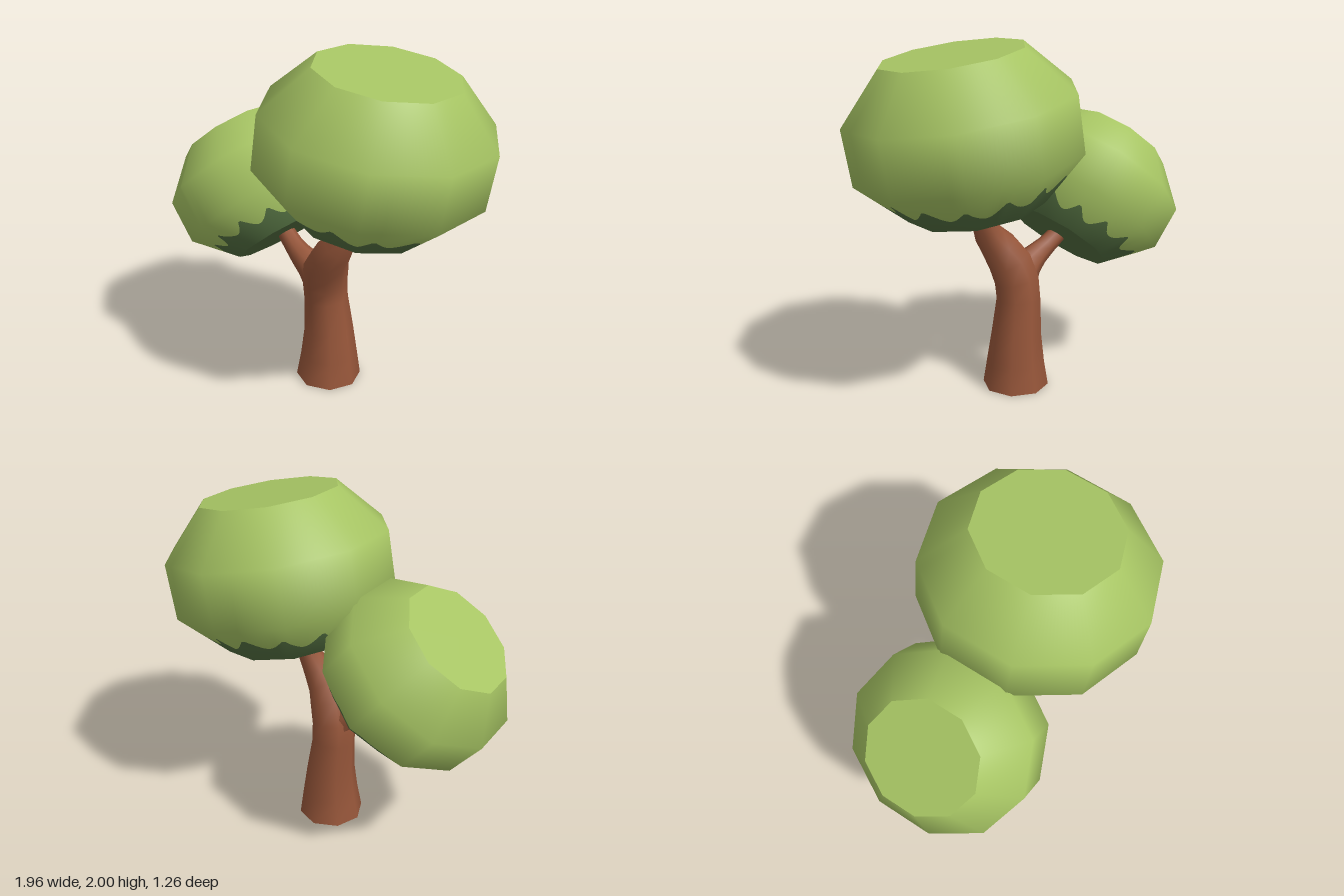
import * as THREE from 'three';

const mat = (name, color, side = THREE.FrontSide) => {
  const m = new THREE.MeshStandardMaterial({ color, side });
  m.name = name;
  return m;
};

function addMesh(parent, name, geometry, material) {
  const mesh = new THREE.Mesh(geometry, material);
  mesh.name = name;
  parent.add(mesh);
  return mesh;
}

// Grid of quads from rows of points; a closed row joins its last point to its first
function gridIndex(rows, cols, closed) {
  const index = [];
  for (let i = 0; i < rows - 1; i++) {
    for (let j = 0; j < (closed ? cols : cols - 1); j++) {
      const a = i * cols + j, b = i * cols + (j + 1) % cols;
      const c = a + cols, d = b + cols;
      index.push([a, c, b], [b, c, d]);
    }
  }
  return index.flat();
}

// Tapered eight-sided limb through stations [x, y, z, radius]
function limb(stations, flatStart) {
  const sides = 8, position = [];
  const pts = stations.map(([x, y, z]) => new THREE.Vector3(x, y, z));
  const zAxis = new THREE.Vector3(0, 0, 1);
  pts.forEach((p, i) => {
    const t = pts[Math.min(i + 1, pts.length - 1)].clone().sub(pts[Math.max(i - 1, 0)]).normalize();
    if (i === 0 && flatStart) t.set(0, 1, 0);
    const u = new THREE.Vector3().crossVectors(t, zAxis).normalize();
    const v = new THREE.Vector3().crossVectors(u, t);
    for (let j = 0; j < sides; j++) {
      const a = (j / sides) * Math.PI * 2, r = stations[i][3];
      const q = p.clone().addScaledVector(u, r * Math.cos(a)).addScaledVector(v, r * Math.sin(a));
      position.push(q.x, q.y, q.z);
    }
  });
  const g = new THREE.BufferGeometry();
  g.setAttribute('position', new THREE.Float32BufferAttribute(position, 3));
  g.setIndex(gridIndex(pts.length, sides, true));
  g.computeVertexNormals();
  return g;
}

// Crown profile: [height, corner radius, normal elevation in radians]
const PROFILE = [[0.412, 0.39, 0.8], [0.155, 0.632, 0.4], [-0.155, 0.632, -0.4], [-0.412, 0.385, -0.8]];
const SIDES = 10, SCALLOPS = 15, COLS = 180;

// Point of the profile on the lower slope at a given height
function lowerSlope(y) {
  const [a, b] = [PROFILE[2], PROFILE[3]];
  const k = (y - a[0]) / (b[0] - a[0]);
  return [y, a[1] + (b[1] - a[1]) * k, a[2] + (b[2] - a[2]) * k];
}

// Hanging rounded lobes meeting in upward points
function scallop(theta) {
  const wobble = 0.012 * Math.sin(theta * 4 + 1);
  return -0.32 + wobble + 0.075 * (1 - Math.abs(Math.sin(theta * SCALLOPS / 2 + 0.4)));
}

// Ten-sided crown wall; rowsAt(theta) lists profile points from top to bottom
function crownWall(rowsAt) {
  const step = (Math.PI * 2) / SIDES, position = [], normal = [];
  const rowCount = rowsAt(0).length;
  for (let i = 0; i < rowCount; i++) {
    for (let j = 0; j <= COLS; j++) {
      const theta = (j / COLS) * Math.PI * 2;
      const [y, r, e] = rowsAt(theta)[i];
      const local = (theta % step) - step / 2;
      const d = r * Math.cos(step / 2) / Math.cos(local);
      position.push(d * Math.sin(theta), y, d * Math.cos(theta));
      normal.push(Math.cos(e) * Math.sin(theta), Math.sin(e), Math.cos(e) * Math.cos(theta));
    }
  }
  const g = new THREE.BufferGeometry();
  g.setAttribute('position', new THREE.Float32BufferAttribute(position, 3));
  g.setAttribute('normal', new THREE.Float32BufferAttribute(normal, 3));
  g.setIndex(gridIndex(rowCount, COLS + 1, false));
  return g;
}

function crown(name, leaf, shade) {
  const g = new THREE.Group();
  g.name = name;
  addMesh(g, 'crownFoliage', crownWall(t => [...PROFILE.slice(0, 3), lowerSlope(scallop(t))]), leaf);
  addMesh(g, 'crownUnderside', crownWall(t => [lowerSlope(scallop(t)), PROFILE[3]]), shade);
  const cap = (capName, [y, r], dir, material) => {
    const c = new THREE.CircleGeometry(r, SIDES, Math.PI / 2).rotateX(-dir * Math.PI / 2);
    addMesh(g, capName, c.translate(0, y, 0), material);
  };
  cap('crownTop', PROFILE[0], 1, leaf);
  cap('crownBottom', PROFILE[3], -1, shade);
  return g;
}

export function createModel() {
  const model = new THREE.Group();
  model.name = 'tree';
  const bark = mat('bark', 0x955539, THREE.DoubleSide);
  const leaf = mat('leafGreen', 0xa6c463);
  const shade = mat('shadeGreen', 0x536f41);

  // Trunk sweeping up into the large crown
  addMesh(model, 'trunk', limb([
    [0.033, 0, -0.007, 0.192], [0.035, 0.15, -0.01, 0.168], [0.03, 0.32, -0.012, 0.145],
    [0.012, 0.52, -0.008, 0.128], [0.015, 0.63, 0.005, 0.13], [0.045, 0.74, 0.03, 0.13],
    [0.1, 0.83, 0.055, 0.112], [0.165, 0.91, 0.06, 0.088], [0.215, 1.0, 0.048, 0.066],
    [0.245, 1.1, 0.035, 0.054], [0.265, 1.22, 0.03, 0.05],
  ], true), bark);

  // Side branch into the small crown
  addMesh(model, 'sideBranch', limb([
    [0.03, 0.56, 0.0, 0.1], [-0.02, 0.65, 0.015, 0.105], [-0.08, 0.71, 0.025, 0.088],
    [-0.15, 0.75, 0.03, 0.07], [-0.22, 0.795, 0.025, 0.058], [-0.29, 0.85, 0.015, 0.053],
    [-0.36, 0.92, 0.01, 0.05],
  ], false), bark);

  const large = crown('largeCrown', leaf, shade);
  large.position.set(0.36, 1.528, 0);
  large.rotation.z = -0.175;
  model.add(large);

  const small = crown('smallCrown', leaf, shade);
  small.position.set(-0.513, 1.108, 0);
  small.rotation.z = 0.705;
  small.scale.setScalar(0.834);
  model.add(small);

  return model;
}
